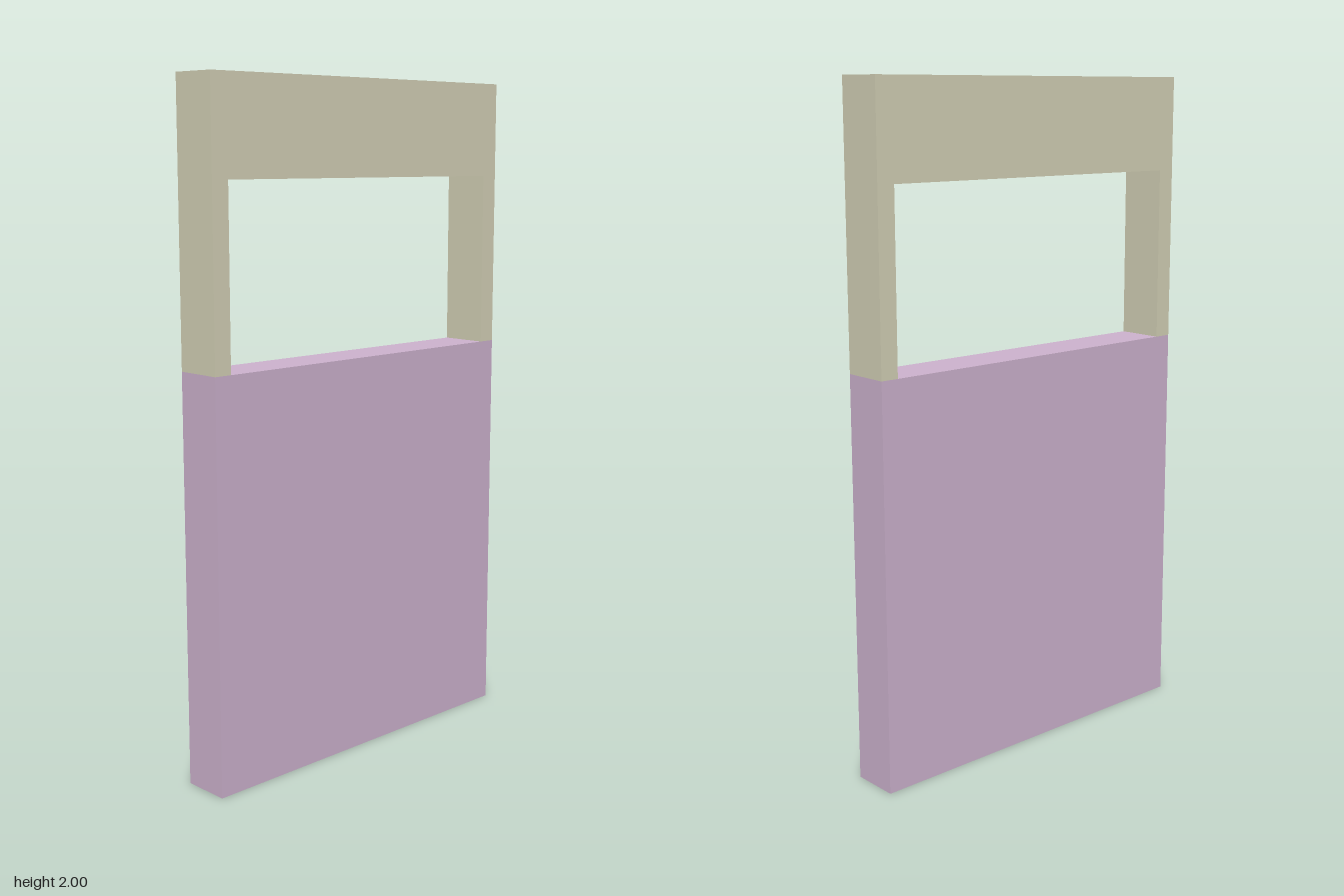
import * as THREE from 'three';

const WIDTH = 1.14, DEPTH = 0.144, HEIGHT = 2;
const PANEL_TOP = 1.2, OPENING_TOP = 1.72, OPENING_HALF = 0.515;

export function createModel() {
  const group = new THREE.Group();
  group.name = 'panelWithOpening';

  // Solid lower panel
  const panel = new THREE.Mesh(
    new THREE.BoxGeometry(WIDTH, PANEL_TOP, DEPTH),
    new THREE.MeshStandardMaterial({ color: 0xcfb4d0 })
  );
  panel.name = 'lowerPanel';
  panel.position.y = PANEL_TOP / 2;
  group.add(panel);

  // Upper frame: header and two narrow posts in one inverted U
  const h = WIDTH / 2;
  const outline = new THREE.Shape([
    [-h, PANEL_TOP], [-OPENING_HALF, PANEL_TOP],
    [-OPENING_HALF, OPENING_TOP], [OPENING_HALF, OPENING_TOP],
    [OPENING_HALF, PANEL_TOP], [h, PANEL_TOP],
    [h, HEIGHT], [-h, HEIGHT],
  ].map(([x, y]) => new THREE.Vector2(x, y)));
  const frame = new THREE.Mesh(
    new THREE.ExtrudeGeometry(outline, { depth: DEPTH, bevelEnabled: false }),
    new THREE.MeshStandardMaterial({ color: 0xd6d3b8 })
  );
  frame.name = 'upperFrame';
  frame.position.z = -DEPTH / 2;
  group.add(frame);

  return group;
}
